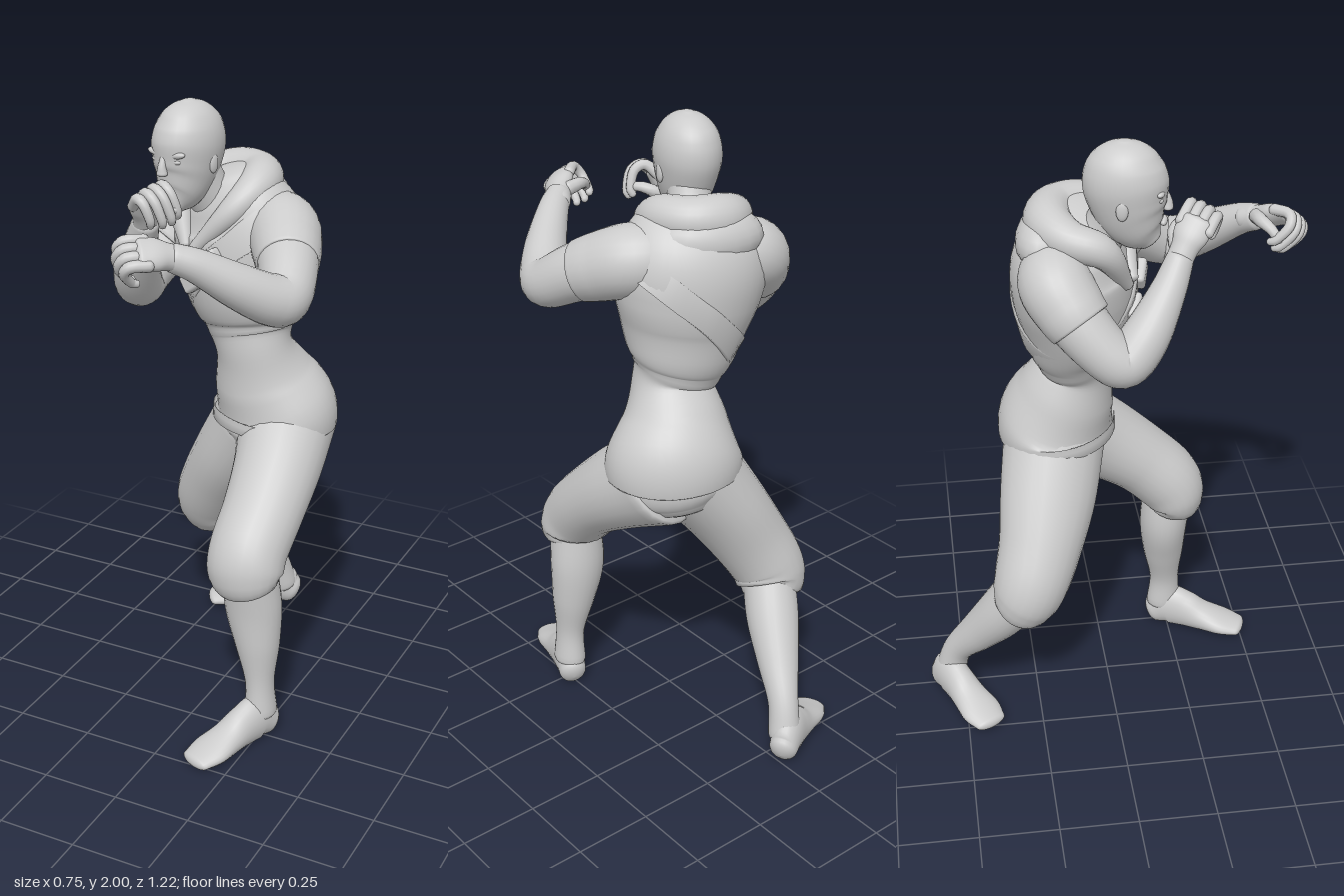
import * as THREE from 'three';
import { RoundedBoxGeometry } from 'three/addons/geometries/RoundedBoxGeometry.js';

const V = (x, y, z) => new THREE.Vector3(x, y, z);
const mat = new THREE.MeshStandardMaterial({ color: 0xcccccc });
const thin = new THREE.MeshStandardMaterial({ color: 0xcccccc, side: THREE.DoubleSide });
const SIDE = V(0.93, 0, 0.36); // shoulder line of the turned body

function add(parent, name, geometry, material = mat) {
  const mesh = new THREE.Mesh(geometry, material);
  mesh.name = name;
  parent.add(mesh);
  return mesh;
}

// Smooth skin over stations [x, y, z, halfWidth, halfDepth], with domed ends
function loft(stations, hint = V(1, 0, 0), caps = [0.6, 0.6], sides = 24, per = 6) {
  const pos = new THREE.CatmullRomCurve3(stations.map((s) => V(s[0], s[1], s[2])), false, 'catmullrom');
  const rad = new THREE.CatmullRomCurve3(stations.map((s) => V(s[3], s[4] ?? s[3], 0)), false, 'catmullrom');
  const steps = (stations.length - 1) * per, K = 5, verts = [], index = [];
  let rows = 0;
  const ring = (t, phi, end) => {
    const p = pos.getPoint(t), r = rad.getPoint(t), T = pos.getTangent(t);
    const side = hint.clone().addScaledVector(T, -hint.dot(T)).normalize();
    const up = T.clone().cross(side);
    p.addScaledVector(T, end * Math.sin(phi) * caps[end < 0 ? 0 : 1] * Math.min(r.x, r.y));
    const k = Math.cos(phi);
    for (let i = 0; i < sides; i++) {
      const a = (i / sides) * Math.PI * 2;
      const v = p.clone().addScaledVector(side, Math.cos(a) * r.x * k).addScaledVector(up, Math.sin(a) * r.y * k);
      verts.push(v.x, v.y, v.z);
    }
    rows++;
  };
  for (let k = K; k > 0; k--) ring(0, (k / K) * Math.PI / 2, -1);
  for (let i = 0; i <= steps; i++) ring(i / steps, 0, 1);
  for (let k = 1; k <= K; k++) ring(1, (k / K) * Math.PI / 2, 1);
  for (let j = 0; j < rows - 1; j++) for (let i = 0; i < sides; i++) {
    const n = (i + 1) % sides, a = j * sides + i, b = j * sides + n, c = b + sides, d = a + sides;
    index.push(a, b, d, b, c, d);
  }
  return build(verts, index);
}

function build(verts, index) {
  const g = new THREE.BufferGeometry();
  g.setAttribute('position', new THREE.Float32BufferAttribute(verts, 3));
  g.setIndex(index);
  g.computeVertexNormals();
  return g;
}

function ball(parent, name, p, s) {
  const m = add(parent, name, new THREE.SphereGeometry(1, 20, 14));
  m.position.set(...p);
  m.scale.set(...s);
  return m;
}

// Foot along heel-to-toe, with the sole pressed flat
function foot(parent, name, heel, toe, floor) {
  const dir = toe.clone().sub(heel), side = V(dir.z, 0, -dir.x).normalize();
  const rows = [[0, 0.046, 0.056], [0.15, 0.05, 0.082], [0.35, 0.052, 0.072], [0.55, 0.058, 0.052], [0.8, 0.068, 0.034], [1, 0.055, 0.022]];
  const g = loft(rows.map(([t, w, h]) => {
    const p = heel.clone().addScaledVector(dir, t);
    return [p.x, floor + h * 0.8, p.z, w, h];
  }), side, [0.7, 0.9]);
  const a = g.attributes.position;
  for (let i = 0; i < a.count; i++) a.setY(i, Math.max(floor, a.getY(i)));
  g.computeVertexNormals();
  add(parent, name, g);
}

// Curled hand: f points to the knuckles, c is the curl direction
function hand(parent, name, wrist, f, c, flip) {
  const group = new THREE.Group();
  group.name = name;
  parent.add(group);
  f.normalize();
  c.addScaledVector(f, -c.dot(f)).normalize();
  const s = f.clone().cross(c).multiplyScalar(flip);
  const at = (a, b, d, r, q) => {
    const p = wrist.clone().addScaledVector(f, a).addScaledVector(c, b).addScaledVector(s, d);
    return [p.x, p.y, p.z, r, q ?? r];
  };
  add(group, 'palm', loft([at(-0.04, 0, 0, 0.04, 0.036), at(0.02, 0, 0, 0.042, 0.034), at(0.06, 0, 0, 0.053, 0.032), at(0.105, 0.005, 0, 0.053, 0.024)], s));
  for (let i = 0; i < 4; i++) {
    const d = (i - 1.5) * 0.029, k = [0.95, 1.05, 1, 0.82][i];
    add(group, 'finger', loft([at(0.085, 0, d, 0.018), at(0.105 + 0.035 * k, 0.02, d, 0.017), at(0.11 + 0.032 * k, 0.064 * k, d, 0.016),
      at(0.1, 0.102 * k, d, 0.014), at(0.08, 0.106 * k, d, 0.012)], s, [0.8, 0.9], 10, 4));
  }
  add(group, 'thumb', loft([at(0.02, 0.01, -0.03, 0.024), at(0.05, 0.035, -0.055, 0.02), at(0.085, 0.065, -0.052, 0.017), at(0.105, 0.095, -0.037, 0.013)],
    f, [0.8, 0.9], 10, 4));
}

// Jacket sections: x, y, z, half width, half depth
const TORSO = [
  [0.105, 0.94, -0.15, 0.217, 0.186], [0.105, 1.0, -0.15, 0.212, 0.184], [0.078, 1.1, -0.12, 0.166, 0.155],
  [0.06, 1.2, -0.09, 0.13, 0.117], [0.045, 1.26, -0.095, 0.145, 0.125], [0.036, 1.31, -0.1, 0.17, 0.146], [0.02, 1.4, -0.095, 0.2, 0.172],
  [0.01, 1.5, -0.1, 0.23, 0.186], [0, 1.6, -0.105, 0.235, 0.18], [-0.02, 1.69, -0.09, 0.195, 0.138], [-0.04, 1.745, -0.08, 0.11, 0.09],
];
function torsoPoint(y, ang, out) {
  let i = 0;
  while (i < TORSO.length - 2 && TORSO[i + 1][1] < y) i++;
  const t = (y - TORSO[i][1]) / (TORSO[i + 1][1] - TORSO[i][1]);
  const [x, , z, a, b] = TORSO[i].map((v, k) => THREE.MathUtils.lerp(v, TORSO[i + 1][k], t));
  const u = Math.cos(ang) * (a + out), w = Math.sin(ang) * (b + out);
  return V(x + SIDE.x * u - SIDE.z * w, y, z + SIDE.z * u + SIDE.x * w);
}

// Flat band wrapped diagonally around the chest
function strapGeometry() {
  const n = 64, lift = [0, 0.012, 0.012, 0], shift = [-0.05, -0.045, 0.045, 0.05], verts = [], index = [];
  for (let i = 0; i <= n; i++) {
    const a = (i / n) * Math.PI * 2;
    for (let j = 0; j < 4; j++) verts.push(...torsoPoint(1.475 + 0.19 * Math.cos(a) + shift[j], a, lift[j]).toArray());
  }
  for (let i = 0; i < n; i++) for (let j = 0; j < 3; j++) {
    const p = i * 4 + j;
    index.push(p, p + 1, p + 4, p + 1, p + 5, p + 4);
  }
  return build(verts, index);
}

function buildHead() {
  const head = new THREE.Group();
  head.name = 'head';
  add(head, 'skull', loft([[0, 0.01, 0.075, 0.035, 0.04], [0, 0.04, 0.05, 0.064, 0.075], [0, 0.085, 0.025, 0.083, 0.102], [0, 0.13, 0.012, 0.094, 0.116],
    [0, 0.185, 0.003, 0.101, 0.126], [0, 0.235, 0, 0.094, 0.117], [0, 0.275, 0, 0.074, 0.092], [0, 0.3, 0, 0.047, 0.059], [0, 0.312, 0, 0.018, 0.023]],
  undefined, [0.4, 0.15], 28));
  add(head, 'nose', loft([[0, 0.165, 0.115, 0.01], [0, 0.135, 0.125, 0.013], [0, 0.114, 0.126, 0.018, 0.016]], undefined, [0.8, 0.6], 12));
  ball(head, 'lips', [0, 0.072, 0.114], [0.028, 0.013, 0.012]);
  for (const s of [-1, 1]) {
    ball(head, 'brow', [s * 0.037, 0.17, 0.105], [0.034, 0.011, 0.014]).rotation.z = s * 0.15;
    ball(head, 'eye', [s * 0.037, 0.151, 0.102], [0.018, 0.01, 0.014]);
    ball(head, 'ear', [s * 0.094, 0.135, 0.0], [0.009, 0.03, 0.018]);
  }
  head.position.set(-0.1, 1.685, 0.037);
  head.rotation.y = -0.22;
  return head;
}

export function createModel() {
  const model = new THREE.Group();
  model.name = 'fighter';

  // Torso, hood and strap
  add(model, 'jacket', loft(TORSO, SIDE, [0.03, 0.3], 40));
  add(model, 'hips', loft([[0.1, 0.88, -0.15, 0.17, 0.155], [0.105, 0.92, -0.15, 0.2, 0.172], [0.105, 0.97, -0.15, 0.2, 0.17]], SIDE, [0.4, 0.1], 32));
  add(model, 'neck', loft([[-0.05, 1.66, -0.05, 0.08], [-0.07, 1.73, -0.01, 0.068], [-0.09, 1.81, 0.02, 0.068]]));
  add(model, 'hood', loft([[-0.07, 1.55, 0.065, 0.02], [0.04, 1.67, 0.04, 0.042], [0.085, 1.735, -0.05, 0.062], [0.045, 1.742, -0.15, 0.07],
    [-0.05, 1.735, -0.18, 0.073], [-0.135, 1.715, -0.13, 0.06], [-0.165, 1.68, -0.03, 0.048], [-0.11, 1.55, 0.045, 0.02]], V(0, 1, 0)));
  ball(model, 'hoodBack', [-0.01, 1.68, -0.17], [0.17, 0.095, 0.1]).rotation.y = -0.35;
  add(model, 'strap', strapGeometry(), thin);
  for (const [x, y, z] of [[0, 1.53, 0.1], [-0.07, 1.45, 0.075]]) {
    const pouch = add(model, 'pouch', new RoundedBoxGeometry(0.085, 0.06, 0.04, 3, 0.012));
    pouch.position.set(x, y, z);
    pouch.rotation.set(0, -0.3, 0.6, 'YXZ');
  }
  model.add(buildHead());

  // Arms with short sleeves
  add(model, 'leftArm', loft([[0.19, 1.61, -0.02, 0.1], [0.262, 1.555, 0.11, 0.09], [0.298, 1.5, 0.21, 0.079], [0.28, 1.505, 0.265, 0.076],
    [0.215, 1.56, 0.345, 0.066], [0.13, 1.63, 0.425, 0.05], [0.075, 1.66, 0.468, 0.042]], V(0, 1, 0.2)));
  add(model, 'leftSleeve', loft([[0.1, 1.62, -0.09, 0.1], [0.175, 1.615, -0.04, 0.112], [0.225, 1.585, 0.04, 0.106], [0.256, 1.56, 0.1, 0.096]], V(0, 1, 0), [0.6, 0.05]));
  hand(model, 'leftHand', V(0.075, 1.66, 0.468), V(-0.55, 0.3, 0.75), V(-0.7, -0.7, -0.1), 1);
  add(model, 'rightArm', loft([[-0.18, 1.6, -0.17, 0.1], [-0.245, 1.51, -0.12, 0.09], [-0.29, 1.42, -0.04, 0.079], [-0.293, 1.392, 0.015, 0.077],
    [-0.265, 1.46, 0.08, 0.072], [-0.21, 1.57, 0.15, 0.054], [-0.17, 1.65, 0.19, 0.042]], V(1, 0, -0.5)));
  add(model, 'rightSleeve', loft([[-0.11, 1.62, -0.17, 0.1], [-0.175, 1.595, -0.175, 0.11], [-0.225, 1.54, -0.14, 0.105], [-0.25, 1.5, -0.11, 0.097]], V(0, 0, 1), [0.6, 0.05]));
  hand(model, 'rightHand', V(-0.165, 1.665, 0.197), V(0.25, 0.8, 0.42), V(0.7, -0.3, 0.3), -1);

  // Knee-length trousers gathered at the cuffs
  add(model, 'leftTrouserLeg', loft([[0.15, 0.94, -0.15, 0.16, 0.165], [0.185, 0.85, -0.01, 0.142, 0.14], [0.198, 0.75, 0.125, 0.13, 0.12],
    [0.195, 0.655, 0.225, 0.125, 0.116], [0.198, 0.59, 0.255, 0.122, 0.105], [0.205, 0.548, 0.245, 0.1, 0.086]], undefined, [0.2, 0.1]));
  add(model, 'rightTrouserLeg', loft([[0.055, 0.94, -0.165, 0.15, 0.165], [-0.055, 0.78, -0.2, 0.134, 0.156], [-0.135, 0.65, -0.235, 0.125, 0.136],
    [-0.185, 0.55, -0.27, 0.12, 0.123], [-0.187, 0.49, -0.295, 0.116, 0.11], [-0.172, 0.455, -0.315, 0.094, 0.09]], undefined, [0.2, 0.1]));

  // Bare shins and feet
  add(model, 'leftShin', loft([[0.21, 0.59, 0.24, 0.085], [0.215, 0.46, 0.228, 0.093, 0.082], [0.232, 0.33, 0.232, 0.073, 0.07],
    [0.245, 0.2, 0.24, 0.047, 0.051], [0.25, 0.09, 0.24, 0.051, 0.06]]));
  add(model, 'rightShin', loft([[-0.18, 0.52, -0.29, 0.085], [-0.14, 0.4, -0.36, 0.086, 0.085], [-0.095, 0.29, -0.44, 0.068],
    [-0.053, 0.19, -0.515, 0.049, 0.05], [-0.035, 0.09, -0.545, 0.052]]));
  foot(model, 'leftFoot', V(0.258, 0, 0.215), V(0.145, 0, 0.495), 0);
  foot(model, 'rightFoot', V(-0.012, 0, -0.568), V(-0.258, 0, -0.428), 0.01);
  return model;
}
